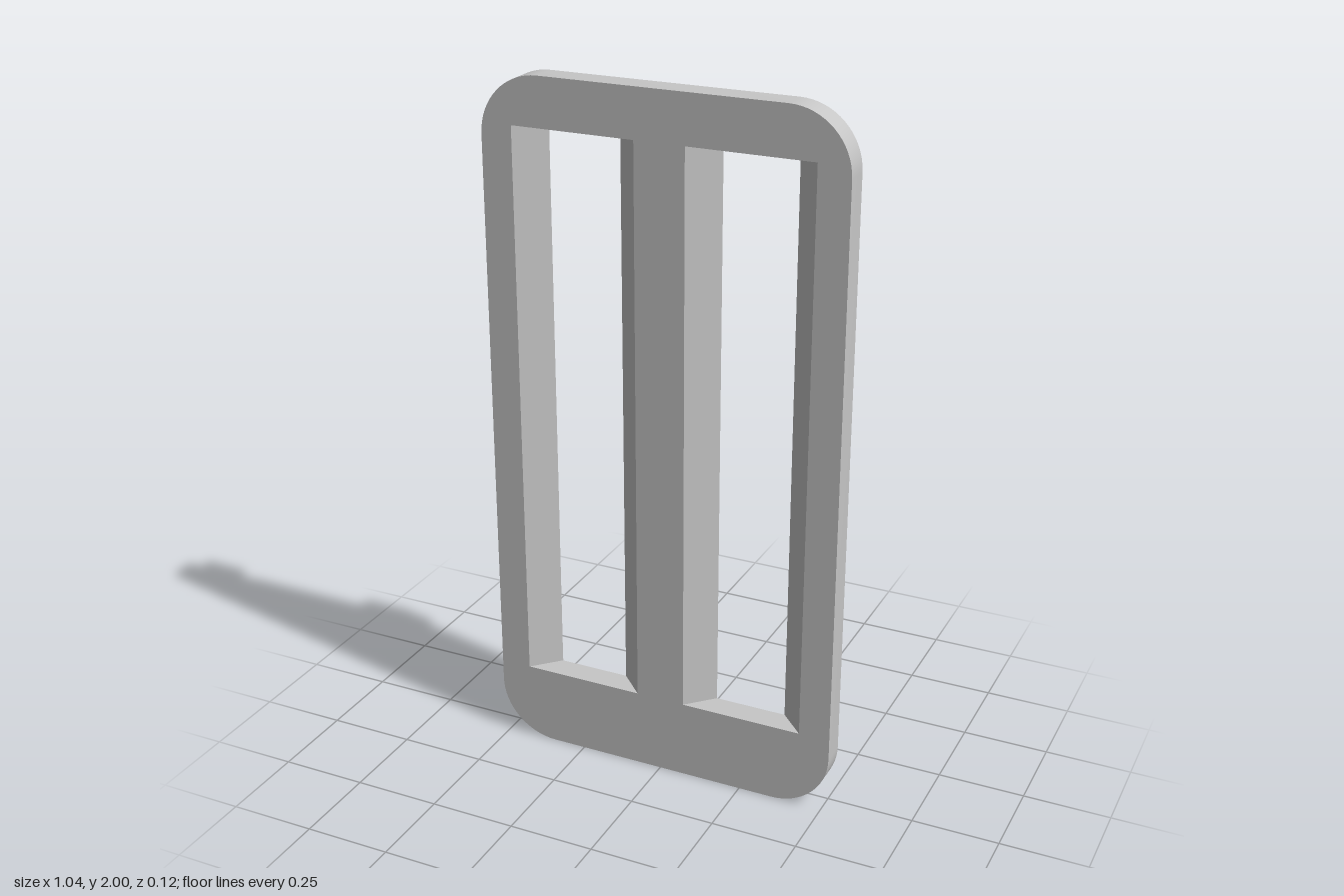
import * as THREE from 'three';
import { toCreasedNormals, mergeGeometries } from 'three/addons/utils/BufferGeometryUtils.js';

const FRONT = 0.06, BACK = -0.014;   // plate faces
const W = 0.518, H = 2, R = 0.17;    // half width, height, corner radius
const PEG_BACK = -0.06;
const HOLE_FLOOR = 0.01;

const v2 = (x, y) => new THREE.Vector2(x, y);
const rect = (x0, x1, y0, y1) => [v2(x0, y0), v2(x1, y0), v2(x1, y1), v2(x0, y1)];
const reversed = (loop) => [...loop].reverse();

function arc(cx, cy, r, start, sweep, n, closed = false) {
  const pts = [];
  for (let i = 0; i < (closed ? n : n + 1); i++) {
    const a = start + (sweep * i) / n;
    pts.push(v2(cx + r * Math.cos(a), cy + r * Math.sin(a)));
  }
  return pts;
}

// Side wall between a front loop and a back loop; clockwise loops face inward
function wall(front, zFront, back, zBack) {
  const pos = [];
  front.forEach((p, i) => {
    const j = (i + 1) % front.length;
    const a = [p.x, p.y, zFront], b = [back[i].x, back[i].y, zBack];
    const c = [back[j].x, back[j].y, zBack], d = [front[j].x, front[j].y, zFront];
    pos.push(...a, ...b, ...c, ...a, ...c, ...d);
  });
  const g = new THREE.BufferGeometry();
  g.setAttribute('position', new THREE.Float32BufferAttribute(pos, 3));
  return toCreasedNormals(g, 0.5);
}

// Flat face with holes, facing forward or backward
function face(outline, holes, z, backward) {
  const shape = new THREE.Shape(outline);
  shape.holes = holes.map((h) => new THREE.Path(h));
  let g = new THREE.ShapeGeometry(shape);
  if (backward) g.setIndex(Array.from(g.index.array).reverse());
  g = g.toNonIndexed();
  g.deleteAttribute('uv');
  g.translate(0, 0, z);
  g.computeVertexNormals();
  return g;
}

export function createModel() {
  const group = new THREE.Group();
  const grey = new THREE.MeshStandardMaterial({ color: 0xc6c6c6 });
  grey.name = 'lightGrey';
  const add = (name, geometry) => {
    const mesh = new THREE.Mesh(geometry, grey);
    mesh.name = name;
    group.add(mesh);
  };

  // Rounded outline of the plate
  const q = Math.PI / 2;
  const outline = [
    ...arc(W - R, R, R, -q, q, 16),
    ...arc(W - R, H - R, R, 0, q, 16),
    ...arc(R - W, H - R, R, q, q, 16),
    ...arc(R - W, R, R, 2 * q, q, 16),
  ];

  // Two windows whose long sides slope inward toward the back
  const wide = [rect(-0.428, -0.072, 0.232, 1.862), rect(0.072, 0.428, 0.232, 1.862)];
  const narrow = [rect(-0.355, -0.146, 0.232, 1.862), rect(0.146, 0.355, 0.232, 1.862)];

  // Blind screw holes in the back
  const holes = [[0.469, 1.698], [0.469, 0.453], [-0.469, 1.698], [-0.469, 1.21]]
    .map(([x, y]) => arc(x, y, 0.026, 0, Math.PI * 2, 20, true));

  add('plate', mergeGeometries([
    face(outline, wide, FRONT, false),
    face(outline, [...narrow, ...holes], BACK, true),
    wall(outline, FRONT, outline, BACK),
  ]));
  wide.forEach((w, i) => add('windowReveal', wall(reversed(w), FRONT, reversed(narrow[i]), BACK)));
  holes.forEach((h) => add('screwHole', mergeGeometries([
    wall(reversed(h), HOLE_FLOOR, reversed(h), BACK),
    face(h, [], HOLE_FLOOR, true),
  ])));

  // L-shaped locating brackets at the four back corners
  const T = 0.03;
  for (const sx of [-1, 1]) {
    for (const sy of [-1, 1]) {
      const corner = [
        [0.41, 0.962], [0.265, 0.962], [0.265, 0.962 - T],
        [0.41 - T, 0.962 - T], [0.41 - T, 0.793], [0.41, 0.793],
      ].map(([x, y]) => v2(sx * x, 1 + sy * y));
      const bracket = new THREE.ExtrudeGeometry(new THREE.Shape(corner), {
        depth: BACK - PEG_BACK, bevelEnabled: false,
      });
      bracket.translate(0, 0, PEG_BACK);
      add('cornerBracket', bracket);
    }
  }
  return group;
}
